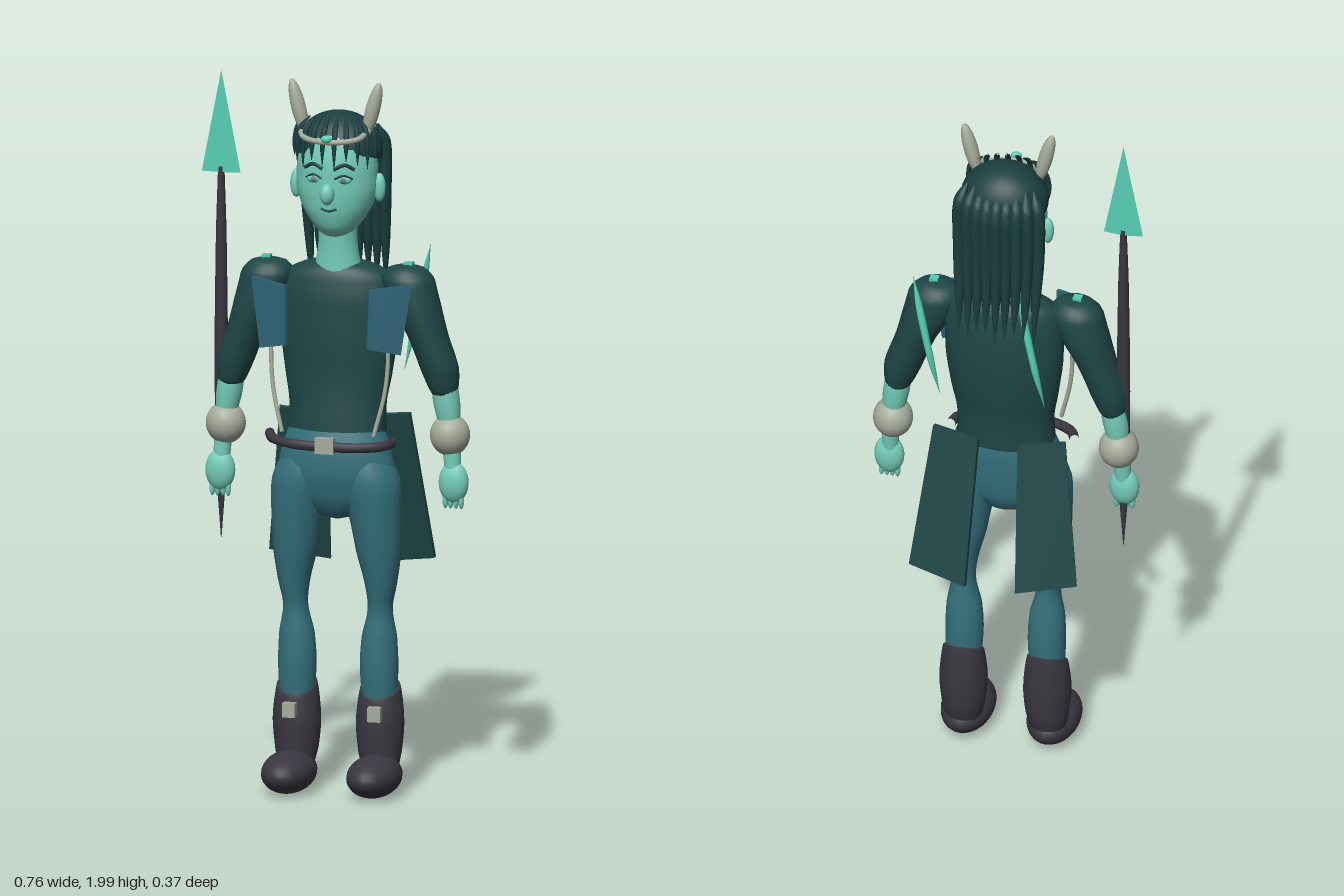
import * as THREE from 'three';

const mat = (name, color, side = THREE.FrontSide) => {
  const m = new THREE.MeshStandardMaterial({ color, side });
  m.name = name;
  return m;
};

export function createModel() {
  const root = new THREE.Group();
  root.name = 'spearWarrior';
  const skin = mat('tealSkin', 0x74ccb8);
  const blade = mat('brightTeal', 0x55cdb2);
  const shirt = mat('darkGreenCloth', 0x1f4646);
  const pants = mat('blueGreenCloth', 0x34707c);
  const plate = mat('plateBlue', 0x2f6476);
  const leather = mat('charcoalLeather', 0x3a3740);
  const bone = mat('bone', 0xa6ac9b);
  const hair = mat('hair', 0x1b3f40);
  const iris = mat('iris', 0x7d7088);

  const add = (name, geo, m, parent = root) => {
    const mesh = new THREE.Mesh(geo, m);
    mesh.name = name;
    parent.add(mesh);
    return mesh;
  };

  // Smooth loft through rings [x, y, z, rx, rz], listed from top to bottom
  const loft = (rows, sides = 20, steps = 4) => {
    const centres = new THREE.CatmullRomCurve3(rows.map(r => new THREE.Vector3(r[0], r[1], r[2])));
    const radii = new THREE.CatmullRomCurve3(rows.map(r => new THREE.Vector3(r[3], r[4], 0)));
    const n = (rows.length - 1) * steps, pos = [], idx = [];
    for (let i = 0; i <= n; i++) {
      const c = centres.getPoint(i / n), r = radii.getPoint(i / n);
      for (let j = 0; j < sides; j++) {
        const t = j / sides * Math.PI * 2;
        pos.push(c.x + Math.max(r.x, 0.0005) * Math.cos(t), c.y, c.z + Math.max(r.y, 0.0005) * Math.sin(t));
        if (i < n) {
          const a = i * sides + j, b = i * sides + (j + 1) % sides;
          idx.push(a, b, a + sides, b, b + sides, a + sides);
        }
      }
    }
    const g = new THREE.BufferGeometry();
    g.setAttribute('position', new THREE.Float32BufferAttribute(pos, 3));
    g.setIndex(idx);
    g.computeVertexNormals();
    return g;
  };

  const ball = (name, p, r, m, parent) => {
    const mesh = add(name, new THREE.SphereGeometry(1, 24, 16), m, parent);
    mesh.position.set(...p);
    mesh.scale.set(...r);
    return mesh;
  };
  const box = (name, p, s, m) => {
    const mesh = add(name, new THREE.BoxGeometry(...s), m);
    mesh.position.set(...p);
    return mesh;
  };
  const tube = (name, pts, r, m, parent) => add(name, new THREE.TubeGeometry(
    new THREE.CatmullRomCurve3(pts.map(p => new THREE.Vector3(...p))), 24, r, 8), m, parent);

  // Thin four-cornered panel: bottomLeft, bottomRight, topRight, topLeft as seen from its face
  const slab = (corners, thick) => {
    const [bl, br, tr, tl] = corners.map(c => new THREE.Vector3(...c));
    const n = br.clone().sub(bl).cross(tl.clone().sub(bl)).normalize();
    const g = new THREE.BoxGeometry(1, 1, 1), p = g.attributes.position;
    for (let i = 0; i < p.count; i++) {
      const u = p.getX(i) + 0.5, v = p.getY(i) + 0.5;
      const q = bl.clone().lerp(br, u).lerp(tl.clone().lerp(tr, u), v).addScaledVector(n, p.getZ(i) * thick);
      p.setXYZ(i, q.x, q.y, q.z);
    }
    g.computeVertexNormals();
    return g;
  };

  // Trunk
  add('torso', loft([[0, 1.485, -0.015, 0, 0], [0, 1.48, -0.015, 0.085, 0.05], [0, 1.45, -0.015, 0.15, 0.072],
    [0, 1.38, -0.015, 0.168, 0.085], [0, 1.28, -0.015, 0.165, 0.088], [0, 1.17, -0.01, 0.15, 0.082],
    [0, 1.08, 0, 0.136, 0.078], [0, 1.0, 0.005, 0.138, 0.08]], 28), shirt);
  add('hips', loft([[0, 1.04, 0.005, 0.128, 0.072], [0, 0.97, 0.012, 0.153, 0.085], [0, 0.9, 0.015, 0.165, 0.084],
    [0, 0.83, 0.012, 0.14, 0.07], [0, 0.78, 0.01, 0.06, 0.04], [0, 0.765, 0.01, 0, 0]], 28), pants);
  add('neck', loft([[0, 1.62, 0, 0.055, 0.055], [0, 1.54, 0, 0.054, 0.05], [0, 1.45, -0.005, 0.068, 0.055]]), skin);

  // Head and face
  const head = new THREE.Group();
  head.name = 'head';
  root.add(head);
  add('skull', loft([[0, 1.885, 0.005, 0, 0], [0, 1.87, 0.005, 0.055, 0.05], [0, 1.83, 0.005, 0.095, 0.08],
    [0, 1.76, 0.006, 0.112, 0.093], [0, 1.7, 0.006, 0.113, 0.093], [0, 1.64, 0.008, 0.097, 0.086],
    [0, 1.59, 0.012, 0.065, 0.066], [0, 1.56, 0.015, 0.034, 0.036], [0, 1.55, 0.015, 0, 0]], 28), skin, head);
  ball('nose', [0, 1.69, 0.112], [0.02, 0.03, 0.022], skin, head);
  tube('mouth', [[-0.022, 1.646, 0.093], [0, 1.64, 0.097], [0.022, 1.646, 0.093]], 0.003, hair, head);
  for (const s of [1, -1]) {
    ball('eye', [s * 0.042, 1.728, 0.089], [0.021, 0.012, 0.01], blade, head);
    ball('iris', [s * 0.042, 1.728, 0.096], [0.008, 0.008, 0.005], iris, head);
    tube('upperLid', [[s * 0.018, 1.731, 0.1], [s * 0.042, 1.741, 0.097], [s * 0.066, 1.731, 0.086]], 0.003, hair, head);
    tube('eyebrow', [[s * 0.015, 1.757, 0.1], [s * 0.045, 1.77, 0.093], [s * 0.07, 1.757, 0.083]], 0.005, hair, head);
    ball('ear', [s * 0.118, 1.695, 0], [0.017, 0.04, 0.016], skin, head);
    const horn = ball('horn', [s * 0.105, 1.913, 0.025], [0.02, 0.08, 0.02], bone, head);
    horn.rotation.z = -s * 0.25;
  }
  tube('circlet', [[-0.1, 1.86, 0.025], [-0.075, 1.84, 0.08], [0, 1.835, 0.112], [0.075, 1.84, 0.08], [0.1, 1.86, 0.025]], 0.008, bone, head);
  ball('circletGem', [0, 1.845, 0.12], [0.015, 0.011, 0.011], blade, head);

  // Hair
  const cap = add('hairCap', new THREE.SphereGeometry(1, 28, 16, 0, Math.PI * 2, 0, Math.PI * 0.58), hair, head);
  cap.material = mat('hair', 0x1b3f40, THREE.DoubleSide);
  cap.position.set(0, 1.797, -0.012);
  cap.scale.set(0.122, 0.104, 0.1);
  cap.rotation.x = -0.28;
  for (let i = 0; i < 9; i++) {
    const u = i / 4 - 1, x = u * 0.11, end = 1.4 + 0.04 * Math.abs(Math.sin(i * 2.3));
    add('backStrand', loft([[x * 0.85, 1.86, -0.06, 0.004, 0.006], [x, 1.81, -0.11 + 0.03 * u * u, 0.018, 0.022],
      [x * 1.02, 1.66, -0.112 + 0.03 * u * u, 0.017, 0.02], [x * 0.98, 1.52, -0.118 + 0.02 * u * u, 0.013, 0.014],
      [x * 0.95, end - 0.02, -0.132 + 0.02 * u * u, 0.001, 0.001]], 8), hair, head);
  }
  for (let i = 0; i < 10; i++) {
    const t = (i / 9 - 0.5) * 2.5, c = Math.cos(t), x = Math.sin(t) * 0.115;
    add('fringeStrand', loft([[x * 0.75, 1.89, 0.05 * c, 0.003, 0.003], [x * 0.95, 1.865, 0.083 * c, 0.008, 0.008],
      [x * 1.04, 1.82, 0.1 * c, 0.007, 0.006], [x * 1.05, 1.78 - 0.012 * (i % 3), 0.102 * c, 0.001, 0.001]], 6), hair, head);
  }

  // Arms and legs, mirrored
  for (const s of [1, -1]) {
    const side = s > 0 ? 'left' : 'right';
    const m = rows => rows.map(r => [s * r[0], ...r.slice(1)]);
    add(side + 'Sleeve', loft(m([[0.195, 1.488, 0, 0, 0], [0.195, 1.475, 0, 0.05, 0.04], [0.2, 1.44, 0, 0.074, 0.064],
      [0.222, 1.37, 0, 0.069, 0.068], [0.255, 1.29, 0, 0.056, 0.062], [0.288, 1.2, 0, 0.053, 0.055],
      [0.302, 1.13, 0, 0.034, 0.038], [0.302, 1.125, 0, 0.001, 0.001]])), shirt);
    add(side + 'Forearm', loft(m([[0.3, 1.17, 0, 0.036, 0.038], [0.308, 1.11, 0, 0.037, 0.038], [0.318, 1.03, 0, 0.028, 0.03],
      [0.326, 0.95, 0.005, 0.024, 0.024], [0.33, 0.88, 0.01, 0.022, 0.022]])), skin);
    ball(side + 'Bracer', [s * 0.318, 1.015, 0], [0.055, 0.058, 0.055], bone);
    ball(side + 'Hand', [s * 0.331, 0.885, 0.01], [0.042, 0.058, 0.028], skin);
    for (let i = 0; i < 4; i++)
      ball(side + 'Finger', [s * (0.308 + i * 0.015), 0.836, 0.012], [0.008, 0.024, 0.009], skin);
    box(side + 'ShoulderStud', [s * 0.202, 1.486, 0], [0.024, 0.01, 0.024], blade);

    add(side + 'Leg', loft(m([[0.075, 0.97, 0.012, 0.06, 0.06], [0.095, 0.88, 0.015, 0.085, 0.078], [0.11, 0.78, 0.012, 0.073, 0.072],
      [0.118, 0.68, 0.007, 0.062, 0.063], [0.123, 0.59, 0.004, 0.044, 0.048], [0.12, 0.52, 0, 0.034, 0.038],
      [0.117, 0.44, -0.002, 0.049, 0.046], [0.116, 0.36, -0.003, 0.053, 0.05], [0.118, 0.22, -0.005, 0.045, 0.045]])), pants);
    const boot = loft(m([[0.118, 0.3, -0.006, 0.048, 0.048], [0.118, 0.298, -0.006, 0.056, 0.052], [0.118, 0.2, -0.006, 0.067, 0.06],
      [0.118, 0.12, -0.005, 0.06, 0.056], [0.12, 0.06, 0, 0.045, 0.045], [0.12, 0.03, 0, 0.01, 0.01]]));
    // Slant the boot top up towards the back
    const bp = boot.attributes.position;
    for (let i = 0; i < bp.count; i++)
      bp.setY(i, bp.getY(i) - Math.max(0, bp.getY(i) - 0.2) * 5 * (bp.getZ(i) + 0.006));
    boot.computeVertexNormals();
    add(side + 'Boot', boot, leather);
    ball(side + 'Foot', [s * 0.121, 0.064, 0.063], [0.073, 0.058, 0.122], leather);
    box(side + 'BootBuckle', [s * 0.121, 0.235, 0.06], [0.036, 0.04, 0.024], bone);

    // Chest plate with its hanging strap
    const corners = [[0.115, 1.265, 0.12], [0.198, 1.245, 0.075], [0.225, 1.44, 0.062], [0.118, 1.43, 0.11]];
    const c = corners.map(p => [s * p[0], p[1], p[2]]);
    add(side + 'ChestPlate', slab(s > 0 ? c : [c[1], c[0], c[3], c[2]], 0.01), plate);
    tube(side + 'Strap', [[s * 0.155, 1.42, 0.09], [s * 0.166, 1.25, 0.085], [s * 0.158, 1.14, 0.092], [s * 0.13, 1.02, 0.105]], 0.006, bone);

    // Coat tail
    const t = [[0.235, 0.64, -0.145], [0.07, 0.615, -0.182], [0.055, 1.04, -0.09], [0.185, 1.055, -0.07]].map(p => [s * p[0], p[1], p[2]]);
    add(side + 'CoatTail', slab(s > 0 ? t : [t[1], t[0], t[3], t[2]], 0.014), shirt);

    // Slim blade across the back
    const bx = s > 0 ? 0.165 : -0.13;
    add(side + 'BackBlade', loft([[bx + 0.08, 1.53, -0.066, 0, 0], [bx + 0.055, 1.42, -0.082, 0.011, 0.012],
      [bx + 0.025, 1.29, -0.094, 0.01, 0.012], [bx, 1.17, -0.085, 0, 0]], 8), blade);
  }

  // Belt
  tube('belt', [[-0.185, 1.0, 0.03], [-0.165, 0.995, 0.075], [-0.1, 0.99, 0.115], [0, 0.988, 0.125],
    [0.1, 0.988, 0.115], [0.155, 0.99, 0.08], [0.165, 0.992, 0.04]], 0.014, leather);
  box('beltBuckle', [0, 0.993, 0.135], [0.052, 0.044, 0.02], bone);

  // Spear in the right hand
  add('spearShaft', loft([[-0.33, 1.73, 0.004, 0.009, 0.009], [-0.33, 1.55, 0.004, 0.015, 0.015], [-0.33, 1.2, 0.004, 0.019, 0.019],
    [-0.33, 0.9, 0.004, 0.015, 0.015], [-0.33, 0.695, 0.004, 0.001, 0.001]], 12), leather);
  const tipGeo = new THREE.ConeGeometry(0.055, 0.285, 4).toNonIndexed();
  tipGeo.scale(1, 1, 0.14);
  tipGeo.computeVertexNormals();
  add('spearHead', tipGeo, blade).position.set(-0.33, 1.857, 0.004);

  return root;
}
